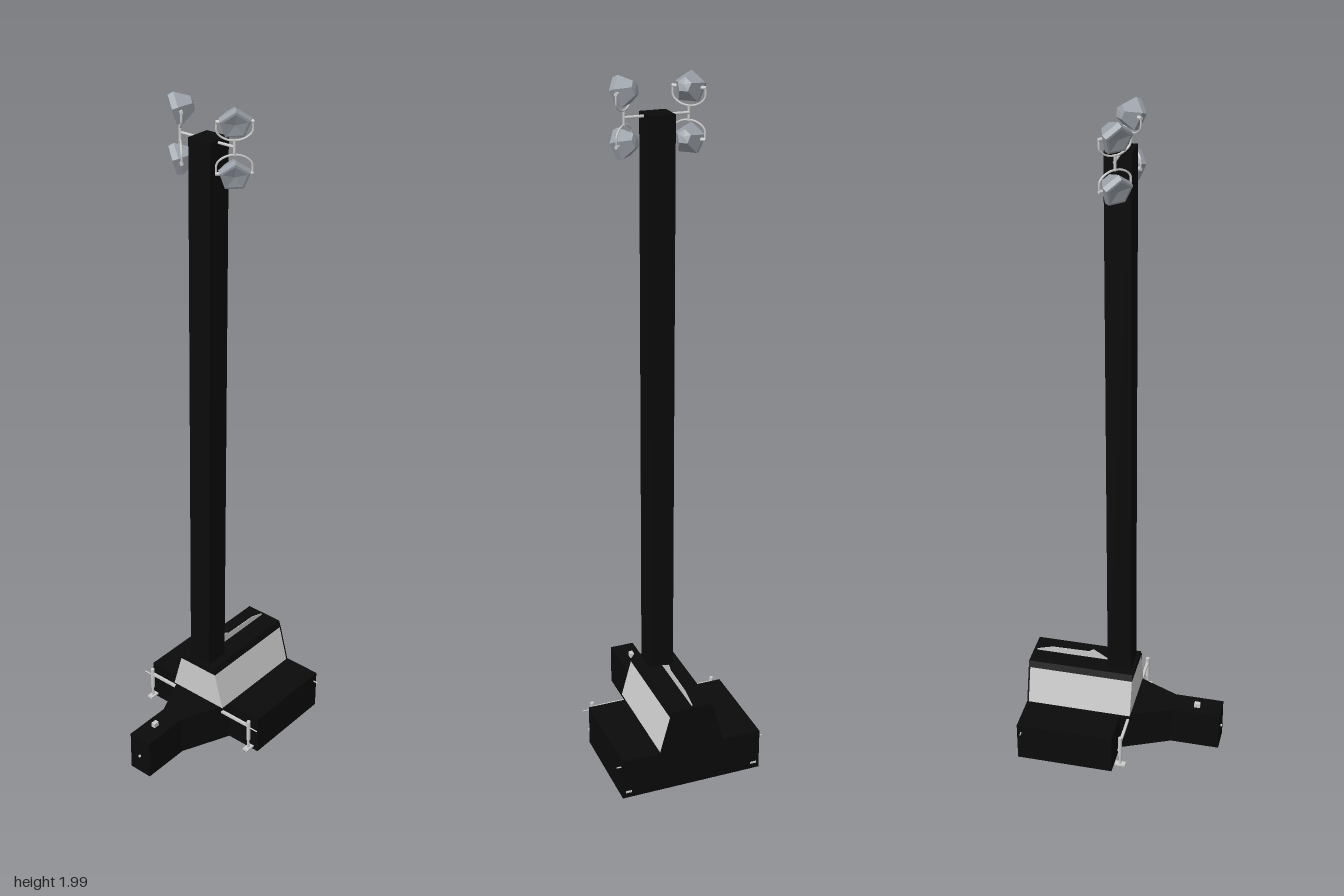
import * as THREE from 'three';

const black = new THREE.MeshStandardMaterial({ color: 0x0a0a0a, side: THREE.DoubleSide });
const grey = new THREE.MeshStandardMaterial({ color: 0xcccccc, side: THREE.DoubleSide });
const lampGrey = new THREE.MeshStandardMaterial({ color: 0x9aa0a8, flatShading: true });

function add(parent, name, geometry, material, x = 0, y = 0, z = 0) {
  const mesh = new THREE.Mesh(geometry, material);
  mesh.name = name;
  mesh.position.set(x, y, z);
  parent.add(mesh);
  return mesh;
}

const box = (w, h, d) => new THREE.BoxGeometry(w, h, d);
const points = (list) => list.map(([a, b]) => new THREE.Vector2(a, b));

// Plan outline (x, z) extruded upward from y = 0
function plan(outline, height, hole) {
  const shape = new THREE.Shape(points(outline));
  if (hole) shape.holes.push(new THREE.Path(points(hole)));
  return new THREE.ExtrudeGeometry(shape, { depth: height, bevelEnabled: false }).rotateX(-Math.PI / 2);
}

// Symmetric section (z, y) extruded along x
function section(halfBottom, halfTop, y0, y1, x0, x1) {
  const shape = new THREE.Shape(points([[-halfBottom, y0], [halfBottom, y0], [halfTop, y1], [-halfTop, y1]]));
  return new THREE.ExtrudeGeometry(shape, { depth: x1 - x0, bevelEnabled: false })
    .rotateY(Math.PI / 2).translate(x0, 0, 0);
}

// Straight round bar between two points
function bar(parent, name, a, b, radius) {
  const curve = new THREE.LineCurve3(new THREE.Vector3(...a), new THREE.Vector3(...b));
  return add(parent, name, new THREE.TubeGeometry(curve, 1, radius, 8), grey);
}

// Trailer plan: drawbar, flared neck and wide body
function trailerOutline(t) {
  const half = [[-0.297 + t, 0.037 - t], [-0.148, 0.037 - t], [t, 0.102 - t], [t, 0.213 - t], [0.295 - t, 0.213 - t]];
  return [...half.map(([x, z]) => [x, -z]), ...half.reverse()];
}

function makeJack(x, side) {
  const jack = new THREE.Group();
  jack.name = 'stabiliserJack';
  add(jack, 'jackTube', new THREE.CylinderGeometry(0.006, 0.006, 0.07, 10), grey, 0, 0.088, 0);
  add(jack, 'jackScrew', new THREE.CylinderGeometry(0.0035, 0.0035, 0.05, 8), grey, 0, 0.045, 0);
  add(jack, 'jackFoot', box(0.032, 0.005, 0.018), grey, 0, 0.02, 0);
  bar(jack, 'jackHandle', [0, 0.1, 0], [0, 0.1, side * 0.031], 0.002);
  jack.position.set(x, 0, side * 0.195);
  return jack;
}

// Five-sided floodlight head opening along +z, held by a yoke
function makeLamp() {
  const lamp = new THREE.Group();
  lamp.name = 'floodlight';
  const profile = points([[0, -0.036], [0.02, -0.034], [0.044, 0.004], [0.041, 0.02], [0.034, 0.021], [0, 0.016]]);
  const head = add(lamp, 'lampHead', new THREE.LatheGeometry(profile, 5), lampGrey);
  head.rotation.x = Math.PI / 2;
  head.rotation.y = Math.PI / 5;
  for (const s of [-1, 1]) {
    const pivot = add(lamp, 'lampPivot', new THREE.CylinderGeometry(0.005, 0.005, 0.014, 8), grey, s * 0.041, 0, 0);
    pivot.rotation.z = Math.PI / 2;
  }
  return lamp;
}

export function createModel() {
  const model = new THREE.Group();
  model.name = 'lightTower';

  // Hollow trailer body, open underneath
  add(model, 'trailerWalls', plan(trailerOutline(0), 0.119, trailerOutline(0.004)), black);
  add(model, 'trailerDeck', plan(trailerOutline(0), 0.006), black, 0, 0.119, 0);

  // Tapered engine housing with dark lid and rear panel
  add(model, 'housing', section(0.097, 0.067, 0.125, 0.236, -0.03, 0.29), grey);
  add(model, 'housingRearPanel', section(0.097, 0.067, 0.125, 0.236, 0.29, 0.295), black);
  add(model, 'housingLid', section(0.067, 0.06, 0.236, 0.256, -0.03, 0.295), black);

  // Thin upright fin on the lid
  const fin = new THREE.Shape(points([[0.053, 0.255], [0.285, 0.255], [0.285, 0.26], [0.235, 0.275], [0.12, 0.277], [0.105, 0.287]]));
  add(model, 'lidFin', new THREE.ExtrudeGeometry(fin, { depth: 0.002, bevelEnabled: false }), grey, 0, 0, -0.003);

  // Mast
  add(model, 'mast', box(0.073, 1.77, 0.073), black, 0.016, 1.01, 0);

  // Hitch fittings
  add(model, 'hitchLatch', box(0.018, 0.014, 0.013), grey, -0.223, 0.132, -0.005);
  const eye = add(model, 'hitchPin', new THREE.CylinderGeometry(0.004, 0.004, 0.006, 8), grey, -0.298, 0.06, 0);
  eye.rotation.z = Math.PI / 2;

  // Outrigger beam and corner jacks
  add(model, 'outriggerBeam', box(0.008, 0.008, 0.39), grey, -0.023, 0.105, 0);
  for (const side of [-1, 1]) {
    model.add(makeJack(-0.023, side), makeJack(0.282, side));
  }

  // Axle and wheels inside the body
  add(model, 'axleBeam', box(0.06, 0.03, 0.22), grey, 0.13, 0.06, 0);
  for (const side of [-1, 1]) {
    const wheel = add(model, 'wheel', new THREE.CylinderGeometry(0.055, 0.055, 0.035, 20), grey, 0.13, 0.06, side * 0.125);
    wheel.rotation.x = Math.PI / 2;
    const hub = add(model, 'wheelHub', new THREE.CylinderGeometry(0.024, 0.024, 0.045, 12), grey, 0.13, 0.06, side * 0.125);
    hub.rotation.x = Math.PI / 2;
  }

  // Lamp crossbar with four outward-facing floodlights on bent yokes
  bar(model, 'lampCrossbar', [0.012, 1.888, -0.09], [0.012, 1.888, 0.09], 0.004);
  for (const side of [-1, 1]) {
    for (const level of [-1, 1]) {
      const mount = new THREE.Group();
      mount.name = 'lampMount';
      mount.position.set(0.01, level > 0 ? 1.954 : 1.82, side * 0.09);
      mount.rotation.y = Math.atan2(-1, side);
      const lamp = makeLamp();
      lamp.rotation.x = 0.3;
      mount.add(lamp);
      const yoke = new THREE.CatmullRomCurve3([
        [-0.046, 0], [-0.044, -0.028], [-0.018, -0.046], [0.018, -0.046], [0.044, -0.028], [0.046, 0],
      ].map(([x, y]) => new THREE.Vector3(x, level * y, 0)));
      add(mount, 'lampYoke', new THREE.TubeGeometry(yoke, 20, 0.003, 6), grey);
      bar(mount, 'yokeStem', [0, -level * 0.046, 0], [0, -level * 0.067, 0], 0.004);
      model.add(mount);
    }
  }
  return model;
}
